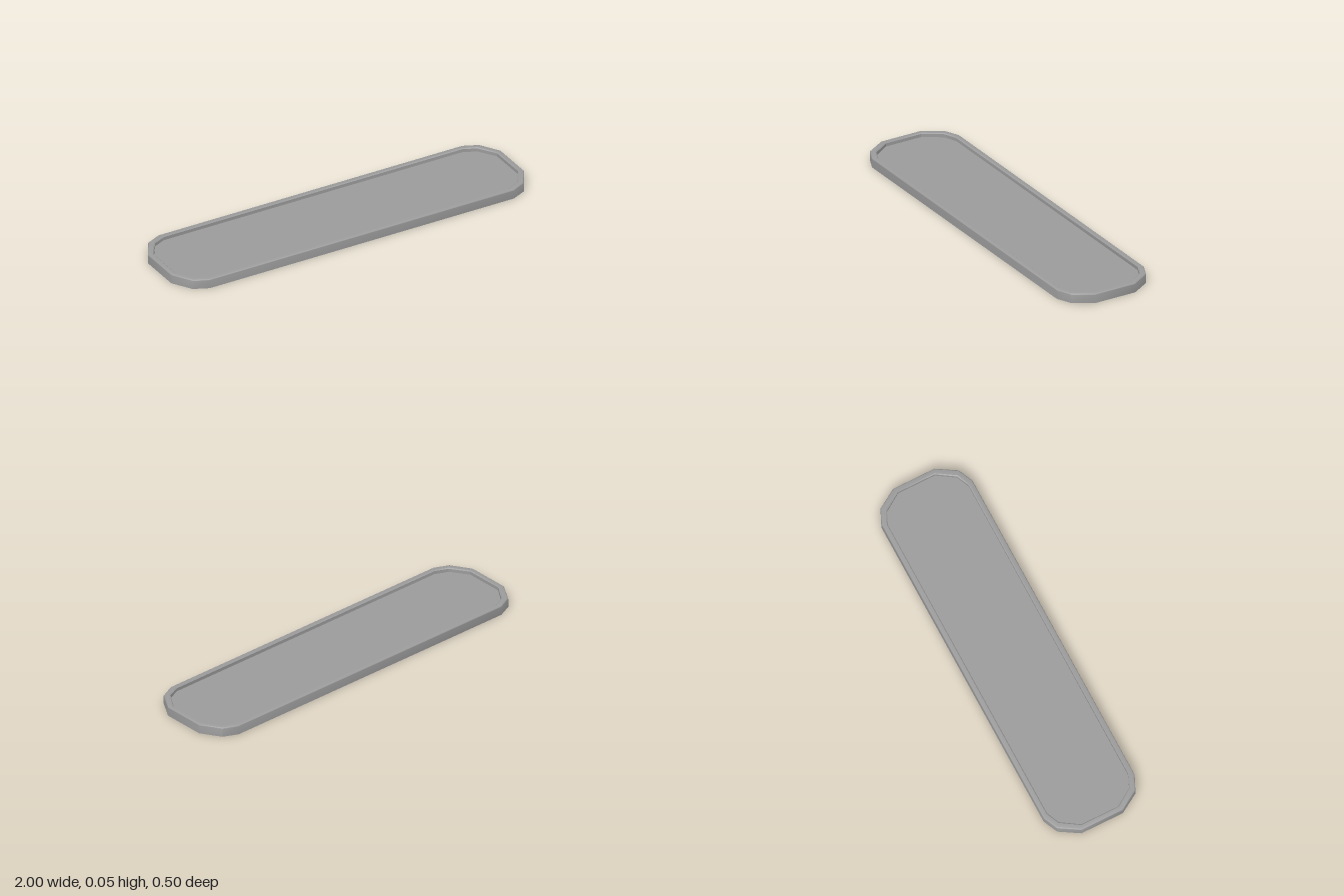
import * as THREE from 'three';
import { toCreasedNormals } from 'three/addons/utils/BufferGeometryUtils.js';

// One corner of the outline: [x, z] on the outer wall and on the inner wall
const OUTER = [[1, 0.114], [0.938, 0.215], [0.862, 0.25]];
const INNER = [[0.975, 0.102], [0.914, 0.195], [0.846, 0.225]];

// Outline at t (0 = outer wall, 1 = inner wall), counter-clockwise from above
function outline(t) {
  const corner = OUTER.map(([x, z], i) => [
    THREE.MathUtils.lerp(x, INNER[i][0], t),
    THREE.MathUtils.lerp(z, INNER[i][1], t),
  ]);
  const back = [...corner].reverse();
  return [
    ...corner.map(([x, z]) => [x, -z]),
    ...back.map(([x, z]) => [-x, -z]),
    ...corner.map(([x, z]) => [-x, z]),
    ...back.map(([x, z]) => [x, z]),
  ];
}

// Skin between successive outlines, given as [t, y] steps
function loft(profile) {
  const positions = [];
  const index = [];
  const n = outline(0).length;
  profile.forEach(([t, y], r) => {
    outline(t).forEach(([x, z]) => positions.push(x, y, z));
    if (r === 0) return;
    for (let i = 0; i < n; i++) {
      const j = (i + 1) % n;
      const low = (r - 1) * n;
      const high = r * n;
      index.push(low + i, low + j, high + j, low + i, high + j, high + i);
    }
  });
  const geometry = new THREE.BufferGeometry();
  geometry.setAttribute('position', new THREE.Float32BufferAttribute(positions, 3));
  geometry.setIndex(index);
  return toCreasedNormals(geometry, 0.56);
}

export function createModel() {
  const group = new THREE.Group();
  group.name = 'tray';
  const material = new THREE.MeshStandardMaterial({ color: 0x9b9b9b, side: THREE.DoubleSide });
  const floorY = 0.029;
  const innerT = 1.08;

  // Thin rim, open underneath: outer wall, rounded top edge, inner wall
  const rim = new THREE.Mesh(
    loft([
      [0, 0], [0, 0.042], [0, 0.0445], [0.04, 0.047], [0.12, 0.049], [0.22, 0.05],
      [0.9, 0.05], [innerT, 0.046], [innerT, floorY],
    ]),
    material
  );
  rim.name = 'rim';

  // Recessed floor
  const shape = new THREE.Shape(outline(innerT).map(([x, z]) => new THREE.Vector2(x, -z)));
  const floor = new THREE.Mesh(new THREE.ShapeGeometry(shape).rotateX(-Math.PI / 2), material);
  floor.position.y = floorY;
  floor.name = 'floor';

  group.add(rim, floor);
  return group;
}
